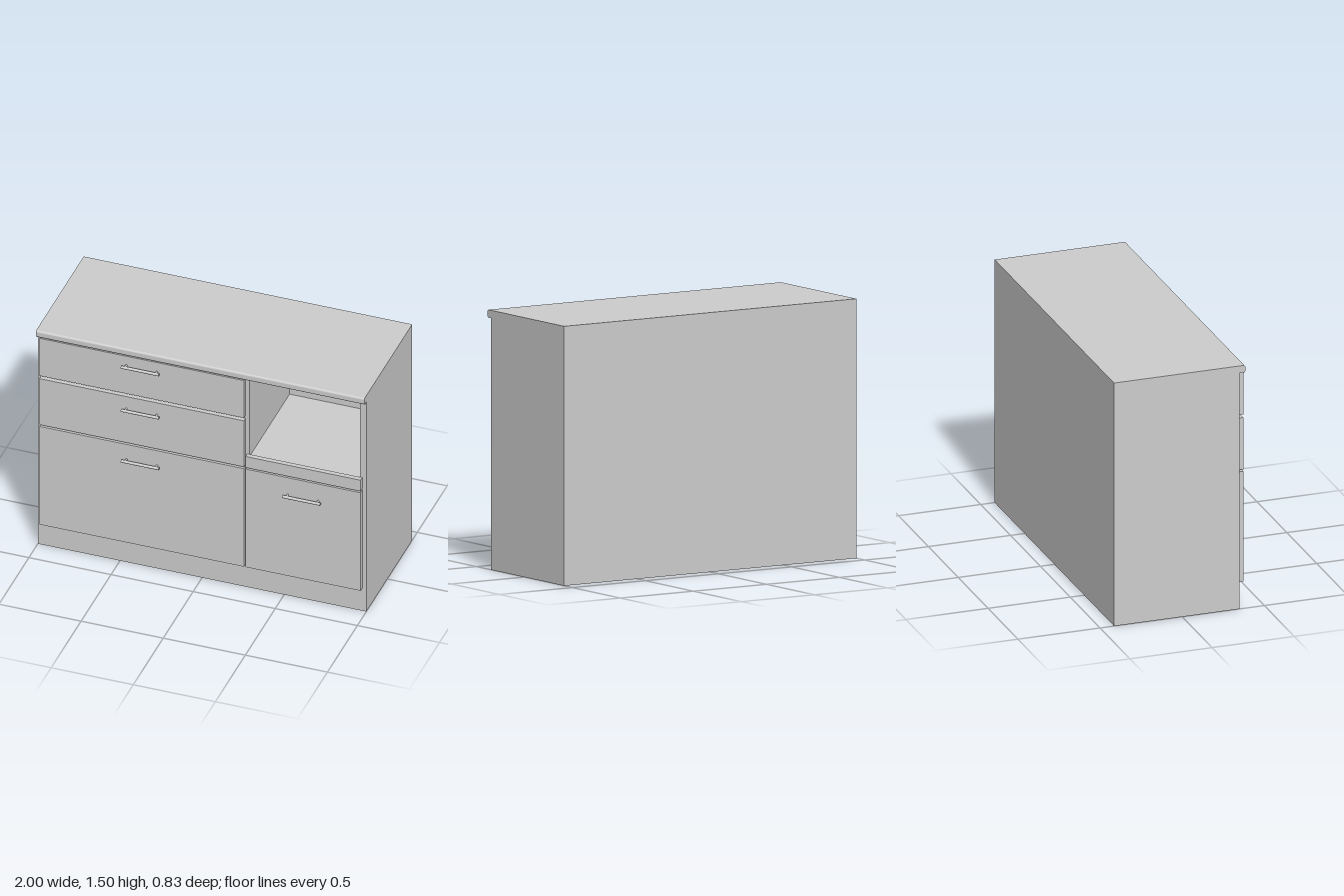
import * as THREE from 'three';

const material = new THREE.MeshStandardMaterial({ color: 0xcccccc });

const BACK = -0.415, BODY_FRONT = 0.35, FACE_FRONT = 0.379, TOP_FRONT = 0.384;
const NICHE = { left: 0.29, right: 0.96, floor: 0.912, back: -0.316 };
const BODY_TOP = 1.455, HEIGHT = 1.5;

function add(parent, name, geometry, x = 0, y = 0, z = 0) {
  const mesh = new THREE.Mesh(geometry, material);
  mesh.name = name;
  mesh.position.set(x, y, z);
  parent.add(mesh);
  return mesh;
}

// Box given by its limits on each axis
function addBox(parent, name, [x0, x1], [y0, y1], [z0, z1]) {
  return add(parent, name, new THREE.BoxGeometry(x1 - x0, y1 - y0, z1 - z0),
    (x0 + x1) / 2, (y0 + y1) / 2, (z0 + z1) / 2);
}

// Round bar on two short posts
function addHandle(parent, x, y) {
  const handle = new THREE.Group();
  handle.name = 'handle';
  handle.position.set(x, y, FACE_FRONT);
  parent.add(handle);
  add(handle, 'handleBar', new THREE.CylinderGeometry(0.009, 0.009, 0.23, 16), 0, 0, 0.027)
    .rotation.z = Math.PI / 2;
  for (const side of [-1, 1]) {
    add(handle, 'handlePost', new THREE.CylinderGeometry(0.006, 0.006, 0.027, 12), side * 0.093, 0, 0.0135)
      .rotation.x = Math.PI / 2;
  }
}

export function createModel() {
  const cabinet = new THREE.Group();
  cabinet.name = 'cabinet';

  // Carcass: front outline with the open niche cut down from the top
  const outline = new THREE.Shape([
    [-1, 0], [1, 0], [1, BODY_TOP], [NICHE.right, BODY_TOP], [NICHE.right, NICHE.floor],
    [NICHE.left, NICHE.floor], [NICHE.left, BODY_TOP], [-1, BODY_TOP],
  ].map(([x, y]) => new THREE.Vector2(x, y)));
  add(cabinet, 'carcass', new THREE.ExtrudeGeometry(outline,
    { depth: BODY_FRONT - NICHE.back, bevelEnabled: false }), 0, 0, NICHE.back);
  addBox(cabinet, 'backPanel', [-1, 1], [0, BODY_TOP], [BACK, NICHE.back]);

  // Worktop: side profile with a rounded front edge, swept along x
  const r = 0.012;
  const profile = new THREE.Shape();
  profile.moveTo(BACK, BODY_TOP);
  profile.lineTo(TOP_FRONT - r, BODY_TOP);
  profile.absarc(TOP_FRONT - r, BODY_TOP + r, r, -Math.PI / 2, 0, false);
  profile.absarc(TOP_FRONT - r, HEIGHT - r, r, 0, Math.PI / 2, false);
  profile.lineTo(BACK, HEIGHT);
  add(cabinet, 'worktop', new THREE.ExtrudeGeometry(profile,
    { depth: 2, bevelEnabled: false, curveSegments: 6 }), 1, 0, 0).rotation.y = -Math.PI / 2;

  // Drawer fronts, door and the rail below the niche
  const wide = [-0.98, 0.265], narrow = [0.275, 0.975];
  const fronts = [
    ['topDrawerFront', wide, [1.19, 1.45], 1.387],
    ['middleDrawerFront', wide, [0.85, 1.17], 1.087],
    ['bottomDrawerFront', wide, [0.157, 0.838], 0.735],
    ['doorFront', narrow, [0.157, 0.838], 0.72],
    ['nicheRail', narrow, [0.848, 0.925], null],
  ];
  for (const [name, xs, ys, handleY] of fronts) {
    addBox(cabinet, name, xs, ys, [BODY_FRONT, FACE_FRONT]);
    if (handleY !== null) addHandle(cabinet, (xs[0] + xs[1]) / 2, handleY);
  }

  return cabinet;
}
